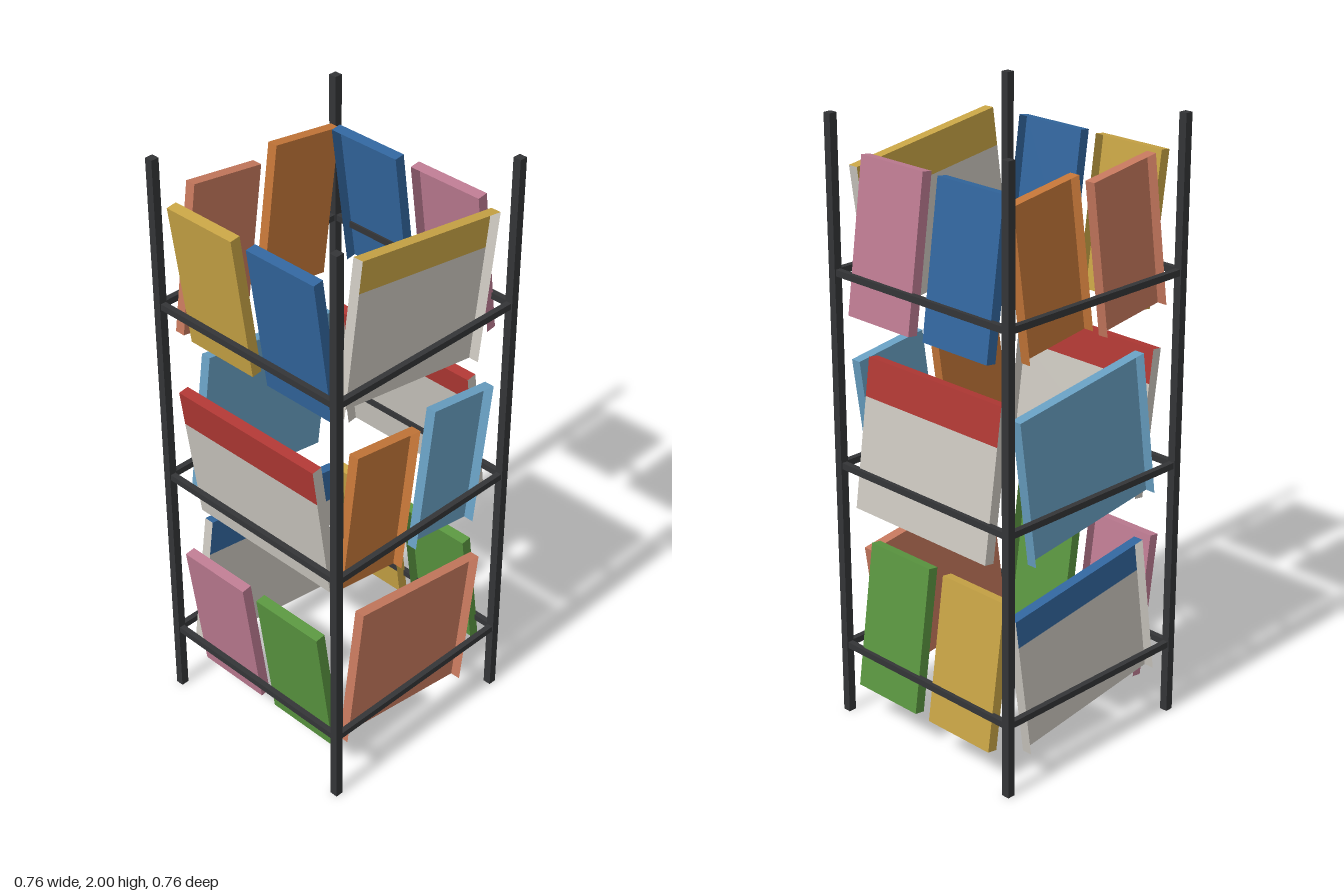
import * as THREE from 'three';

const colours = {
  darkMetal: 0x343537, gold: 0xc8a445, blue: 0x32669e, paper: 0xcbc7bf, red: 0xb03834,
  pink: 0xbd7b92, green: 0x5a9640, orange: 0xc47638, skyBlue: 0x689fc2, terracotta: 0xc5785d,
};
const mats = {};

const ROWS = [0.245, 0.878, 1.511];     // rail heights
const HALF = 0.367;                     // post centre distance
const H = 0.49, D = 0.035, TILT = 0.14, BAND = 0.125, OUT = 0.3305;

function addMesh(parent, name, geometry, mat, x, y, z) {
  const mesh = new THREE.Mesh(geometry, mats[mat]);
  mesh.name = name;
  mesh.position.set(x, y, z);
  parent.add(mesh);
  return mesh;
}

// Thin cover: front, two sides and a top, open at the back and bottom
function makeCover(name, width, mat, bandMat) {
  const cover = new THREE.Group();
  cover.name = name;
  const band = bandMat ? BAND : 0;
  addMesh(cover, 'coverFront', new THREE.PlaneGeometry(width, H - band), mat, 0, -band / 2, D / 2);
  if (bandMat) {
    addMesh(cover, 'coverBand', new THREE.PlaneGeometry(width, band), bandMat, 0, (H - band) / 2, D / 2);
  }
  for (const s of [-1, 1]) {
    addMesh(cover, 'coverSide', new THREE.PlaneGeometry(D, H), mat, s * width / 2, 0, 0).rotation.y = s * Math.PI / 2;
  }
  addMesh(cover, 'coverTop', new THREE.PlaneGeometry(width, D), bandMat || mat, 0, H / 2, 0).rotation.x = -Math.PI / 2;
  return cover;
}

export function createModel() {
  const model = new THREE.Group();
  model.name = 'displayRack';
  for (const [name, color] of Object.entries(colours)) {
    mats[name] = new THREE.MeshStandardMaterial({ color, side: name === 'darkMetal' ? THREE.FrontSide : THREE.DoubleSide });
    mats[name].name = name;
  }

  // Corner posts
  const post = new THREE.BoxGeometry(0.027, 2, 0.027);
  for (const x of [-HALF, HALF]) for (const z of [-HALF, HALF]) addMesh(model, 'post', post, 'darkMetal', x, 1, z);

  // Rails round each level
  const railX = new THREE.BoxGeometry(HALF * 2, 0.021, 0.019);
  const railZ = new THREE.BoxGeometry(0.019, 0.021, HALF * 2);
  for (const y of ROWS) {
    for (const s of [-HALF, HALF]) {
      addMesh(model, 'railAcross', railX, 'darkMetal', 0, y, s);
      addMesh(model, 'railAlong', railZ, 'darkMetal', s, y, 0);
    }
  }

  // Covers per face, bottom row to top; pairs run from -x to +x or -z to +z.
  // Front and back covers face outward, the side ones face into the rack.
  const faces = [
    { name: 'front', turn: 0, tilt: TILT, at: [0, OUT], along: [1, 0],
      rows: [{ pair: ['pink', 'green'] }, { band: 'red' }, { pair: ['gold', 'blue'] }] },
    { name: 'back', turn: Math.PI, tilt: TILT, at: [0, -OUT], along: [1, 0],
      rows: [{ pair: ['gold', 'green'] }, { band: 'red' }, { pair: ['blue', 'pink'] }] },
    { name: 'left', turn: -Math.PI / 2, tilt: -TILT, at: [OUT, 0], along: [0, 1],
      rows: [{ plain: 'terracotta' }, { pair: ['skyBlue', 'orange'] }, { band: 'gold' }] },
    { name: 'right', turn: Math.PI / 2, tilt: -TILT, at: [-OUT, 0], along: [0, 1],
      rows: [{ band: 'blue' }, { plain: 'skyBlue' }, { pair: ['orange', 'terracotta'] }] },
  ];
  for (const f of faces) {
    f.rows.forEach((row, i) => {
      const place = (cover, shift) => {
        cover.position.set(f.at[0] + f.along[0] * shift, ROWS[i] + 0.121, f.at[1] + f.along[1] * shift);
        cover.rotation.set(f.tilt, f.turn, 0);
        model.add(cover);
      };
      if (row.pair) row.pair.forEach((c, k) => place(makeCover(f.name + 'SmallCover', 0.265, c), k ? 0.163 : -0.163));
      else if (row.band) place(makeCover(f.name + 'BandedCover', 0.571, 'paper', row.band), 0);
      else place(makeCover(f.name + 'WideCover', 0.535, row.plain), 0);
    });
  }
  return model;
}
